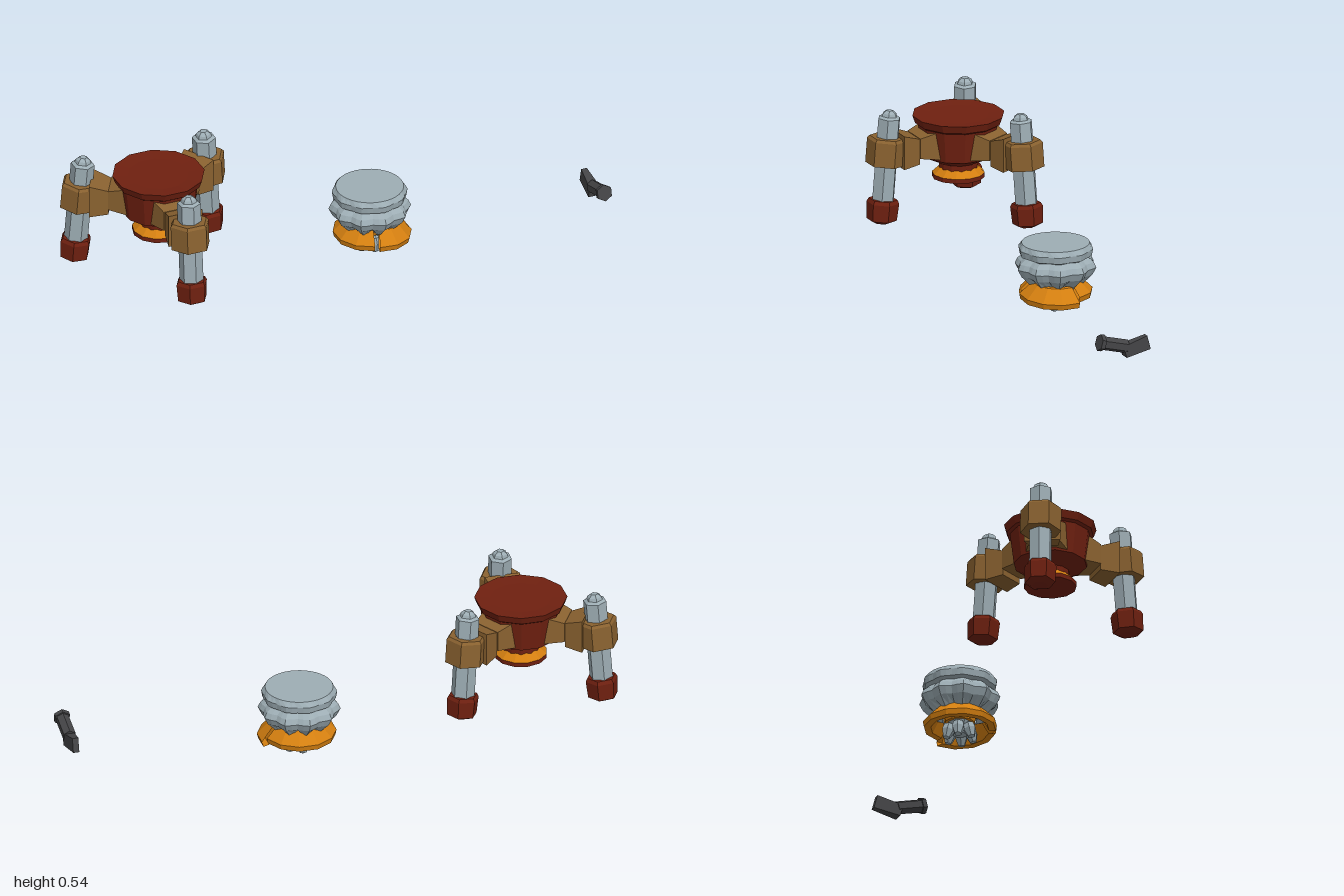
import * as THREE from 'three';

const mat = (name, color) => {
  const m = new THREE.MeshStandardMaterial({ color, flatShading: true, side: THREE.DoubleSide });
  m.name = name;
  return m;
};

export function createModel() {
  const red = mat('dark red', 0x6f2010), tan = mat('tan bronze', 0x8a6230);
  const gold = mat('gold', 0xd47f10), grey = mat('pale steel', 0x9dadb4), dark = mat('gunmetal', 0x444446);

  const model = new THREE.Group();
  const add = (parent, name, geo, m, x = 0, y = 0, z = 0) => {
    const mesh = new THREE.Mesh(geo, m);
    mesh.name = name;
    mesh.position.set(x, y, z);
    parent.add(mesh);
    return mesh;
  };
  const group = (parent, name, x = 0, y = 0, z = 0) => {
    const g = new THREE.Group();
    g.name = name;
    g.position.set(x, y, z);
    parent.add(g);
    return g;
  };
  const lathe = (pts, n, start = 0, len = Math.PI * 2) =>
    new THREE.LatheGeometry(pts.map(p => new THREE.Vector2(...p)), n, start, len);
  // Box whose -z and +z ends have their own half width, bottom and top
  const taperBox = (z0, [w0, b0, t0], z1, [w1, b1, t1]) => {
    const g = new THREE.BoxGeometry(2, 2, 2), p = g.attributes.position;
    for (let i = 0; i < p.count; i++) {
      const end = p.getZ(i) > 0, up = p.getY(i) > 0;
      p.setXYZ(i, p.getX(i) * (end ? w1 : w0), end ? (up ? t1 : b1) : (up ? t0 : b0), end ? z1 : z0);
    }
    return g;
  };

  // ---- Three-legged base ----
  const base = group(model, 'tripodBase', -0.68, 0, -0.07);
  add(base, 'hub', lathe([[0, 0.29], [0.07, 0.29], [0.07, 0.312], [0.132, 0.342], [0.146, 0.455],
    [0.157, 0.462], [0.167, 0.49], [0.11, 0.486], [0, 0.486]], 12, Math.PI / 12), red);
  add(base, 'hubGoldFlare', lathe([[0.068, 0.295], [0.073, 0.29], [0.095, 0.27], [0.09, 0.269]], 12), gold);
  add(base, 'hubFootDisc', lathe([[0, 0.254], [0.095, 0.254], [0.095, 0.27], [0, 0.271]], 12), red);

  for (let i = 0; i < 3; i++) {
    const limb = group(base, 'limb');
    limb.rotation.y = i * Math.PI * 2 / 3;
    add(limb, 'innerArm', taperBox(0.105, [0.075, 0.35, 0.455], 0.175, [0.055, 0.357, 0.432]), tan);
    add(limb, 'outerArm', taperBox(0.175, [0.05, 0.335, 0.43], 0.243, [0.066, 0.328, 0.453]), tan);
    const leg = group(limb, 'leg', 0, 0.36, 0.285);
    leg.rotation.x = -0.08;
    add(leg, 'legTube', new THREE.CylinderGeometry(0.043, 0.043, 0.32, 6), grey, 0, -0.01, 0);
    add(leg, 'legCap', lathe([[0.043, 0.15], [0.03, 0.157], [0.026, 0.168], [0.013, 0.178], [0, 0.178]], 6), grey);
    add(leg, 'legCollar', lathe([[0.04, -0.02], [0.074, -0.02], [0.074, 0.07], [0.066, 0.08], [0.04, 0.08]],
      6, Math.PI / 6), tan);
    add(leg, 'foot', lathe([[0, -0.243], [0.03, -0.24], [0.055, -0.228], [0.059, -0.165], [0.052, -0.152],
      [0, -0.148]], 6, Math.PI / 6), red);
  }

  // ---- Lobed drum ----
  const drum = group(model, 'drum', 0.145, 0, -0.07);
  const body = lathe([[0.06, 0.088], [0.088, 0.1], [0.128, 0.133], [0.141, 0.16], [0.132, 0.18],
    [0.112, 0.197], [0.129, 0.204], [0.133, 0.228], [0.122, 0.246], [0, 0.246]], 40);
  // Ten lobes swell the belly and hang down as teeth
  const p = body.attributes.position;
  for (let i = 0; i < p.count; i++) {
    const y = p.getY(i), a = Math.atan2(p.getX(i), p.getZ(i));
    const lobe = THREE.MathUtils.clamp(1.5 * Math.cos(a * 10), -1, 1);
    const amp = y < 0.2 ? 0.055 : y < 0.24 ? 0.025 : 0;
    const s = 1 + amp * lobe;
    p.setXYZ(i, p.getX(i) * s, y < 0.11 ? y - 0.01 * lobe : y, p.getZ(i) * s);
  }
  add(drum, 'drumBody', body, grey);
  add(drum, 'drumCore', new THREE.CylinderGeometry(0.07, 0.055, 0.06, 10), gold, 0, 0.1, 0);

  // Skirt with one loose panel at the front left
  const skirt = [[0.105, 0.05], [0.13, 0.05], [0.134, 0.07], [0.088, 0.115], [0.07, 0.115], [0.105, 0.05]];
  const third = Math.PI * 2 / 3, from = Math.PI / 4 - third / 2;
  add(drum, 'skirt', lathe(skirt, 8, from + third, 2 * third), gold);
  const hinge = group(drum, 'loosePanel', 0.012, -0.006, 0.006);
  hinge.rotation.z = -0.07;
  add(hinge, 'panel', lathe(skirt, 4, from, third), gold);

  // Claws below the drum
  add(drum, 'clawCore', new THREE.CylinderGeometry(0.05, 0.025, 0.06, 8), grey, 0, 0.055, 0);
  for (let i = 0; i < 6; i++) {
    const arm = group(drum, 'clawArm');
    arm.rotation.y = i * Math.PI / 3;
    const claw = add(arm, 'claw', lathe([[0, -0.034], [0.013, -0.03], [0.024, 0], [0.02, 0.022], [0, 0.035]], 6),
      grey, 0, 0.034, 0.045);
    claw.rotation.x = -0.25;
  }

  // ---- Barrel piece, pointing forward and tilted up ----
  const gun = group(model, 'barrelPiece', 0.97, 0.112, 0.045);
  gun.rotation.x = -0.26;
  const hex = (r, len) => new THREE.CylinderGeometry(r, r, len, 6).rotateX(Math.PI / 2);
  add(gun, 'barrel', hex(0.025, 0.1), dark, 0, 0, 0.04);
  add(gun, 'muzzleFlange', hex(0.031, 0.016), dark, 0, 0, 0.093);
  const grip = add(gun, 'grip', taperBox(-0.055, [0.011, -0.028, 0.025], 0.045, [0.02, -0.02, 0.025]), dark, 0, 0.002, -0.042);
  grip.rotation.x = 0.52 + 0.2;
  grip.rotation.x -= 0.2;

  return model;
}
